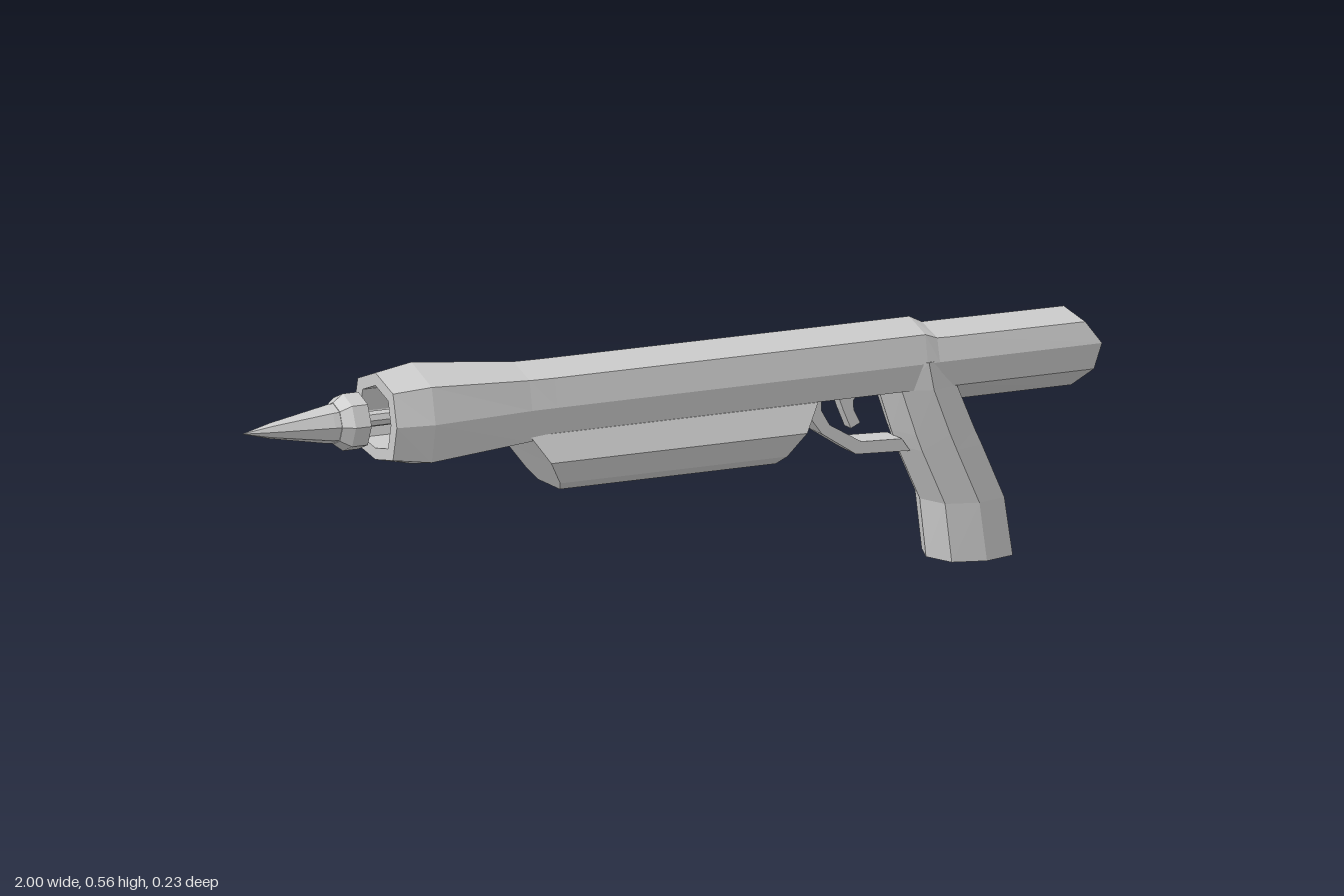
import * as THREE from 'three';

const AXIS_Y = 0.447;
const material = new THREE.MeshStandardMaterial({ color: 0xcccccc, flatShading: true });

function addMesh(parent, name, geometry) {
  const mesh = new THREE.Mesh(geometry, material);
  mesh.name = name;
  parent.add(mesh);
  return mesh;
}

// Skin a list of equal-length rings; optional centre points close the ends.
function loft(rings, startCap, endCap) {
  const out = [];
  const tri = (...points) => points.forEach((p) => out.push(...p));
  const n = rings[0].length;
  for (let i = 0; i < n; i++) {
    const j = (i + 1) % n;
    for (let r = 0; r < rings.length - 1; r++) {
      const a = rings[r], b = rings[r + 1];
      tri(a[i], a[j], b[j]);
      tri(a[i], b[j], b[i]);
    }
    const first = rings[0], last = rings[rings.length - 1];
    if (startCap) tri(first[j], first[i], startCap);
    if (endCap) tri(last[i], last[j], endCap);
  }
  const geometry = new THREE.BufferGeometry();
  geometry.setAttribute('position', new THREE.Float32BufferAttribute(out, 3));
  geometry.computeVertexNormals();
  return geometry;
}

// Mirror a half profile [x, y, z] (first and last points on z = 0) into a full ring.
function mirrorRing(half) {
  const other = half.slice(1, -1).reverse().map(([x, y, z]) => [x, y, -z]);
  return [...half, ...other];
}

// Eight-sided body section: top, shoulder, middle, lower side, bottom.
function bodyRing(x, top, [zs, ys], zm, [zl, yl], bottom) {
  return mirrorRing([[x, top, 0], [x, ys, zs], [x, AXIS_Y, zm], [x, yl, zl], [x, bottom, 0]]);
}

function createBody() {
  const muzzle = bodyRing(-0.685, 0.546, [0.082, 0.517], 0.1, [0.082, 0.373], 0.358);
  // Recessed bore inside the muzzle
  const bore = (x) => muzzle.map(([, y, z]) => [x, AXIS_Y + (y - AXIS_Y) * 0.72, z * 0.72]);
  const rear = [0.073, 0.39];
  const tail = mirrorRing([
    [0.94, 0.515, 0], [0.955, 0.494, 0.071], [0.988, AXIS_Y, 0.084],
    [0.975, 0.39, 0.072], [0.958, 0.342, 0],
  ]);
  return loft([
    bore(-0.6),
    bore(-0.685),
    muzzle,
    bodyRing(-0.6, 0.56, [0.095, 0.525], 0.113, [0.095, 0.362], 0.34),
    bodyRing(-0.36, 0.535, [0.077, 0.51], 0.09, [0.08, 0.378], 0.365),
    bodyRing(-0.3, 0.534, [0.077, 0.509], 0.089, [0.079, 0.39], 0.382),
    bodyRing(0.575, 0.532, [0.076, 0.508], 0.088, [0.078, 0.39], 0.386),
    bodyRing(0.605, 0.517, [0.072, 0.497], 0.085, rear, 0.386),
    bodyRing(0.64, 0.517, [0.072, 0.496], 0.085, rear, 0.342),
    tail,
  ], [-0.6, AXIS_Y, 0], [1, AXIS_Y, 0]);
}

// Fore-end with raked ends: x follows height.
function createForeEnd() {
  const half = [[0.4, 0], [0.39, 0.08], [0.332, 0.104], [0.28, 0.078], [0.26, 0.05], [0.26, 0]];
  const end = (xTop, xBottom) => mirrorRing(half.map(([y, z]) => {
    const t = (0.39 - y) / 0.13;
    return [xTop + (xBottom - xTop) * t, y, z];
  }));
  return loft([end(-0.36, -0.275), end(0.32, 0.235)], [-0.32, 0.33, 0], [0.28, 0.33, 0]);
}

// Grip sections from the base upward: height, front x, back x.
function createGrip() {
  const sections = [
    [0.007, 0.615, 0.795], [0.135, 0.6, 0.775], [0.255, 0.546, 0.722],
    [0.29, 0.533, 0.705], [0.39, 0.5, 0.662], [0.45, 0.5, 0.64],
  ];
  const outline = [
    [1, 0], [0.88, -0.07], [0.08, -0.092], [-0.72, -0.07],
    [-1, 0], [-0.72, 0.07], [0.08, 0.092], [0.88, 0.07],
  ];
  const rings = sections.map(([y, x0, x1]) =>
    outline.map(([u, z]) => [(x0 + x1) / 2 + (u * (x1 - x0)) / 2, y, z]));
  return loft(rings, [0.705, 0, 0], [0.57, 0.45, 0]);
}

// Side-on outline with thickness across z.
function plate(points, width) {
  const shape = new THREE.Shape(points.map(([x, y]) => new THREE.Vector2(x, y)));
  return new THREE.ExtrudeGeometry(shape, { depth: width, bevelEnabled: false })
    .translate(0, 0, -width / 2);
}

// Turned part along x; points are [x, radius].
function turned(points, sides) {
  const profile = points.map(([x, r]) => new THREE.Vector2(r, x));
  return new THREE.LatheGeometry(profile, sides)
    .rotateZ(-Math.PI / 2).translate(0, AXIS_Y, 0);
}

export function createModel() {
  const model = new THREE.Group();
  model.name = 'spearGun';

  addMesh(model, 'body', createBody());
  addMesh(model, 'foreEnd', createForeEnd());
  addMesh(model, 'grip', createGrip());

  // Trigger and its guard
  addMesh(model, 'triggerGuard', plate([
    [0.31, 0.395], [0.31, 0.365], [0.352, 0.308], [0.432, 0.256], [0.56, 0.25],
    [0.54, 0.278], [0.445, 0.282], [0.37, 0.326], [0.35, 0.36], [0.35, 0.395],
  ], 0.07));
  addMesh(model, 'trigger', plate([
    [0.395, 0.395], [0.412, 0.35], [0.43, 0.308], [0.452, 0.318],
    [0.437, 0.348], [0.436, 0.368], [0.46, 0.395],
  ], 0.03));

  // Loaded spear: point, collar and shaft
  const spear = new THREE.Group();
  spear.name = 'spear';
  addMesh(spear, 'spearPoint', turned([
    [-1, 0], [-0.935, 0.017], [-0.8, 0.042], [-0.765, 0.045],
  ], 8));
  addMesh(spear, 'spearCollar', turned([
    [-0.785, 0], [-0.785, 0.045], [-0.762, 0.062], [-0.725, 0.062], [-0.725, 0],
  ], 8));
  addMesh(spear, 'spearShaft', turned([[-0.73, 0.017], [-0.59, 0.017]], 8));
  model.add(spear);

  return model;
}
